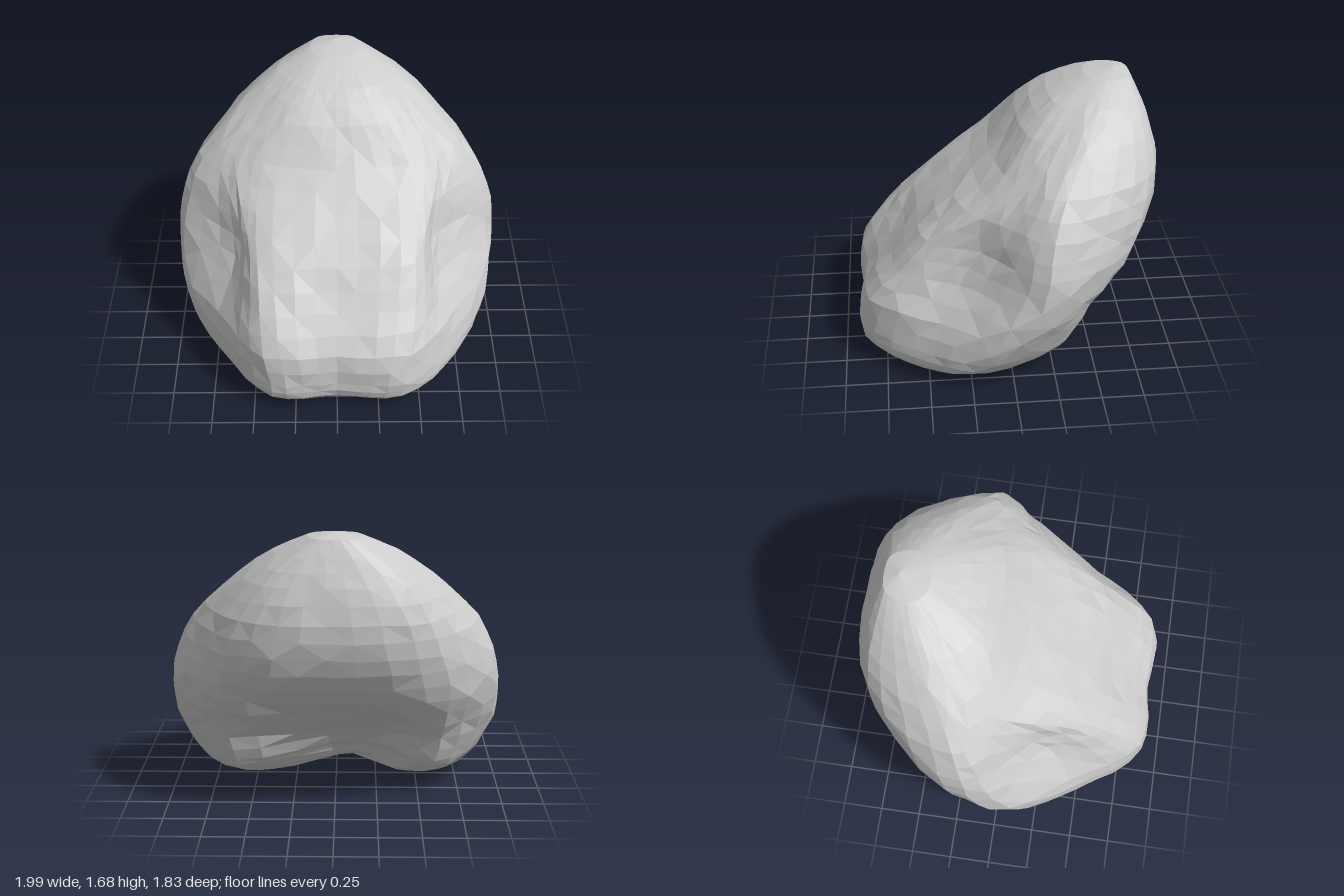
import * as THREE from 'three';

// Half cross-sections, bottom to top:
// y, front z, corner x/z, groove x/z, side x/z, rear corner x/z, rear middle z
const LEVELS = [
  [0.00, 0.73, 0.34, 0.75, 0.54, 0.50, 0.58, 0.22, 0.38, -0.08, 0.04],
  [0.03, 0.81, 0.37, 0.81, 0.65, 0.54, 0.73, 0.18, 0.50, -0.20, -0.01],
  [0.10, 0.87, 0.39, 0.88, 0.74, 0.52, 0.86, 0.16, 0.58, -0.32, -0.05],
  [0.20, 0.88, 0.40, 0.89, 0.77, 0.48, 0.92, 0.11, 0.60, -0.40, -0.12],
  [0.40, 0.86, 0.43, 0.84, 0.73, 0.43, 0.985, -0.02, 0.63, -0.46, -0.27],
  [0.60, 0.70, 0.46, 0.66, 0.64, 0.31, 1.00, -0.13, 0.65, -0.60, -0.58],
  [0.80, 0.53, 0.47, 0.48, 0.62, 0.18, 0.98, -0.18, 0.66, -0.69, -0.81],
  [1.00, 0.32, 0.48, 0.26, 0.65, 0.07, 0.91, -0.22, 0.61, -0.76, -0.90],
  [1.20, 0.09, 0.44, 0.02, 0.62, -0.09, 0.77, -0.29, 0.53, -0.80, -0.91],
  [1.40, -0.08, 0.32, -0.12, 0.46, -0.24, 0.56, -0.42, 0.40, -0.79, -0.86],
  [1.55, -0.26, 0.21, -0.29, 0.30, -0.38, 0.36, -0.52, 0.24, -0.76, -0.80],
  [1.65, -0.48, 0.10, -0.50, 0.14, -0.54, 0.16, -0.60, 0.11, -0.73, -0.75],
];
const AROUND = 40, UP = 22;
const { smoothstep } = THREE.MathUtils;

// Closed outline of one level; the right front corner carries a low ridge, the
// hollow under the rear overhang sits off centre and the underside rises there.
function outline([y, zf, cx, cz, gx, gz, sx, sz, bx, bz, zb]) {
  const low = 1 - smoothstep(y, 0, 0.4);
  const v = (x, z, arch = 0) =>
    new THREE.Vector3(x, y + low * (arch + 0.06 * (1 - smoothstep(z, -0.2, 0.4))), z);
  const rearX = 0.05 - 0.2 * (1 - smoothstep(y, 0.4, 0.9));
  const ridge = smoothstep(y, 0.2, 0.6) * (1 - smoothstep(y, 0.6, 1.0));
  return new THREE.CatmullRomCurve3([
    v(0, zf), v(cx, cz), v(gx, gz), v(sx, sz), v(bx, bz), v(rearX, zb, 0.08),
    v(-bx, bz), v(-sx, sz), v(-gx + 0.06 * low, gz + 0.04 * ridge), v(-cx, cz + 0.05 * ridge),
  ], true);
}

// Small repeatable unevenness for the stone surface
function makeNoise(seed) {
  return () => {
    seed = (seed * 16807) % 2147483647;
    return seed / 2147483647 - 0.5;
  };
}

function boulderGeometry() {
  const noise = makeNoise(71);
  const curves = LEVELS.map(outline);
  const columns = [];
  for (let j = 0; j < AROUND; j++) {
    columns.push(new THREE.CatmullRomCurve3(curves.map(c => c.getPoint(j / AROUND))));
  }

  const positions = [], index = [];
  for (let i = 0; i <= UP; i++) {
    // The rings are closer together near both ends, so they get less unevenness
    const amount = 0.016 * Math.sin(Math.PI * i / UP);
    for (let j = 0; j < AROUND; j++) {
      const p = columns[j].getPoint(i / UP);
      positions.push(p.x + noise() * amount, Math.max(0, p.y + noise() * amount), p.z + noise() * amount);
    }
  }
  // End points closing the underside and the crown
  const bottom = positions.length / 3;
  positions.push(0, 0.02, 0.4, 0, 1.68, -0.66);

  for (let j = 0; j < AROUND; j++) {
    const k = (j + 1) % AROUND;
    for (let i = 0; i < UP; i++) {
      const a = i * AROUND + j, b = i * AROUND + k;
      const c = a + AROUND, d = b + AROUND;
      if ((i + j) % 2) index.push(a, b, c, b, d, c);
      else index.push(a, b, d, a, d, c);
    }
    index.push(bottom, k, j);
    index.push(bottom + 1, UP * AROUND + j, UP * AROUND + k);
  }

  const geometry = new THREE.BufferGeometry();
  geometry.setAttribute('position', new THREE.Float32BufferAttribute(positions, 3));
  geometry.setIndex(index);
  geometry.computeVertexNormals();
  return geometry;
}

export function createModel() {
  const group = new THREE.Group();
  group.name = 'rock';
  const boulder = new THREE.Mesh(
    boulderGeometry(),
    new THREE.MeshStandardMaterial({ color: 0xcccccc, flatShading: true })
  );
  boulder.name = 'boulder';
  group.add(boulder);
  return group;
}
